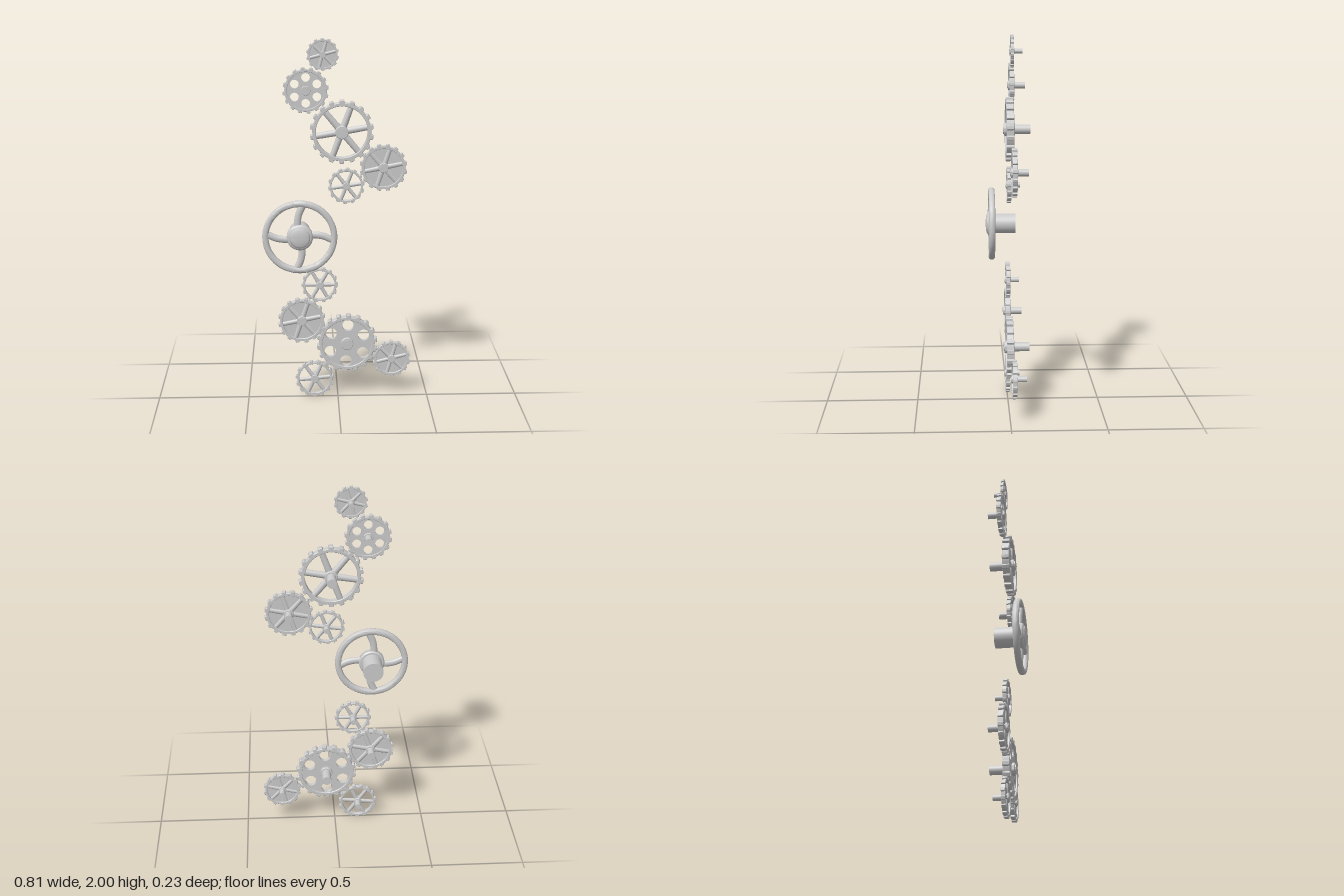
import * as THREE from 'three';
import { toCreasedNormals } from 'three/addons/utils/BufferGeometryUtils.js';

const material = new THREE.MeshStandardMaterial({ color: 0xcccccc });

function part(parent, name, geometry, z = 0) {
  const mesh = new THREE.Mesh(geometry, material);
  mesh.name = name;
  mesh.position.z = z;
  parent.add(mesh);
  return mesh;
}

// Cylinder along z between two depths
function rod(radius, back, front, sides = 32) {
  const g = new THREE.CylinderGeometry(radius, radius, front - back, sides);
  return g.rotateX(Math.PI / 2).translate(0, 0, (front + back) / 2);
}

// Turned profile of [radius, z] points, spun about z
function turned(points, crease = 0.7) {
  const g = new THREE.LatheGeometry(points.map(([r, z]) => new THREE.Vector2(r, z)), 64);
  return toCreasedNormals(g.rotateX(Math.PI / 2), crease);
}

function circlePath(x, y, r) {
  return new THREE.Path().absarc(x, y, r, 0, Math.PI * 2, true);
}

// Flat plate centred on z = 0
function plate(shape, depth, bevel = 0) {
  const g = new THREE.ExtrudeGeometry(shape, {
    depth: depth - 2 * bevel, curveSegments: 32, bevelEnabled: bevel > 0,
    bevelThickness: bevel, bevelSize: bevel, bevelOffset: -bevel, bevelSegments: 1,
  });
  return toCreasedNormals(g.translate(0, 0, bevel - depth / 2), 0.5);
}

// Toothed outline: root arc, flank, rounded tip, flank
function toothOutline(R, teeth, phase) {
  const root = R * 0.92;
  const profile = [[-0.5, root], [-0.36, root], [-0.25, root], [-0.21, R * 0.985],
    [-0.15, R], [0, R], [0.15, R], [0.21, R * 0.985], [0.25, root], [0.36, root]];
  const points = [];
  for (let i = 0; i < teeth; i++) {
    for (const [u, r] of profile) {
      const a = phase + ((i + u) / teeth) * Math.PI * 2;
      points.push(new THREE.Vector2(r * Math.cos(a), r * Math.sin(a)));
    }
  }
  return new THREE.Shape(points);
}

// kind: 'open' = spokes only, 'web' = spokes over a thin disc, 'holes' = pierced disc
function gear({ name, x, y, z, R, t, teeth, kind, turn, shaftEnd, holeAt = 0.57 }) {
  const g = new THREE.Group();
  g.name = name;
  g.position.set(x, y, z);

  const rim = toothOutline(R, teeth, turn);
  rim.holes.push(circlePath(0, 0, R * 0.81));
  part(g, 'toothedRim', plate(rim, t, t * 0.06));

  if (kind !== 'open') {
    const disc = new THREE.Shape().absarc(0, 0, R * 0.83, 0, Math.PI * 2, false);
    if (kind === 'holes') {
      for (let i = 0; i < 6; i++) {
        const a = turn + (i * Math.PI) / 3;
        disc.holes.push(circlePath(R * holeAt * Math.cos(a), R * holeAt * Math.sin(a), R * 0.19));
      }
    }
    part(g, 'disc', plate(disc, kind === 'holes' ? t * 0.6 : t * 0.25));
  }

  // Rounded spokes
  if (kind !== 'holes') {
    for (let i = 0; i < 6; i++) {
      const s = new THREE.CylinderGeometry(R * 0.095, R * 0.11, R * 0.84, 16, 1, true);
      s.translate(0, R * 0.42, 0).scale(1, 1, (t * 0.4) / (R * 0.11));
      part(g, 'spoke', s).rotation.z = turn + (i * Math.PI) / 3 - Math.PI / 2;
    }
  }

  // Hub collar and axle
  const h = t * 0.72, c = R * 0.015;
  part(g, 'hub', turned([[0, -h], [R * 0.205 - c, -h], [R * 0.205, c - h],
    [R * 0.205, h - c], [R * 0.205 - c, h], [0, h]]));
  part(g, 'axle', rod(R * 0.15, shaftEnd - z, h + t * 0.12));
  return g;
}

// Handwheel with four swept spokes
function handwheel(x, y) {
  const g = new THREE.Group();
  g.name = 'handwheel';
  g.position.set(x, y, 0);
  const zc = 0.083, a = 0.017;

  // Rim with a rounded-square section
  const section = [];
  for (let i = 0; i <= 20; i++) {
    const u = (i / 20) * Math.PI * 2;
    const soft = (v) => Math.sign(v) * Math.pow(Math.abs(v), 0.65);
    section.push([0.184 + a * soft(Math.cos(u)), zc + a * soft(Math.sin(u))]);
  }
  part(g, 'rim', turned(section, 1));

  const path = new THREE.CatmullRomCurve3([[-0.012, 0.035], [-0.012, 0.08], [-0.005, 0.125], [0.02, 0.182]]
    .map(([px, py]) => new THREE.Vector3(px, py, 0)));
  for (let i = 0; i < 4; i++) {
    const s = new THREE.TubeGeometry(path, 20, 0.019, 14, false).scale(1, 1, 0.7);
    part(g, 'sweptSpoke', s, zc).rotation.z = (i * Math.PI) / 2;
  }

  // Collar, domed cap and thick rear axle
  part(g, 'collar', turned([[0, 0.062], [0.064, 0.062], [0.07, 0.068], [0.07, 0.096],
    [0.066, 0.102], [0.055, 0.106], [0, 0.106]]));
  part(g, 'cap', turned([[0.055, 0.1], [0.055, 0.108], [0.046, 0.112], [0.025, 0.115], [0, 0.116]], 1.2));
  part(g, 'axle', rod(0.055, -0.05, 0.1, 48));
  return g;
}

export function createModel() {
  const model = new THREE.Group();
  model.name = 'gearTrain';
  const front = -0.004, back = -0.025;
  // x, y, z, outer radius, thickness, teeth, kind, turn, axle end
  const gears = [
    ['topGear', -0.08, 1.914, back, 0.086, 0.017, 14, 'web', 0.25, -0.082],
    ['upperPiercedGear', -0.17, 1.726, back, 0.122, 0.025, 16, 'holes', Math.PI / 6, -0.1],
    ['upperLargeGear', 0.02, 1.507, -0.008, 0.17, 0.04, 18, 'open', 0.17, -0.118],
    ['upperWebGear', 0.245, 1.308, back, 0.128, 0.026, 16, 'web', 0.2, -0.1],
    ['upperSmallGear', 0.045, 1.213, front, 0.098, 0.022, 14, 'open', 0.15, -0.063],
    ['lowerSmallGear', -0.1, 0.657, front, 0.1, 0.022, 14, 'open', 0, -0.066],
    ['lowerWebGear', -0.2, 0.452, front, 0.13, 0.029, 16, 'web', 0.2, -0.085],
    ['lowerLargePiercedGear', 0.05, 0.315, -0.008, 0.168, 0.038, 18, 'holes', 0.47, -0.116],
    ['lowerOuterGear', 0.3, 0.213, back, 0.105, 0.024, 14, 'web', 0.25, -0.09],
    ['bottomGear', -0.13, 0.107, front, 0.107, 0.022, 15, 'open', 0.1, -0.07],
  ];
  for (const [name, x, y, z, R, t, teeth, kind, turn, shaftEnd] of gears) {
    model.add(gear({ name, x, y, z, R, t, teeth, kind, turn, shaftEnd, holeAt: R > 0.15 ? 0.62 : 0.56 }));
  }
  model.add(handwheel(-0.207, 0.954));
  return model;
}
